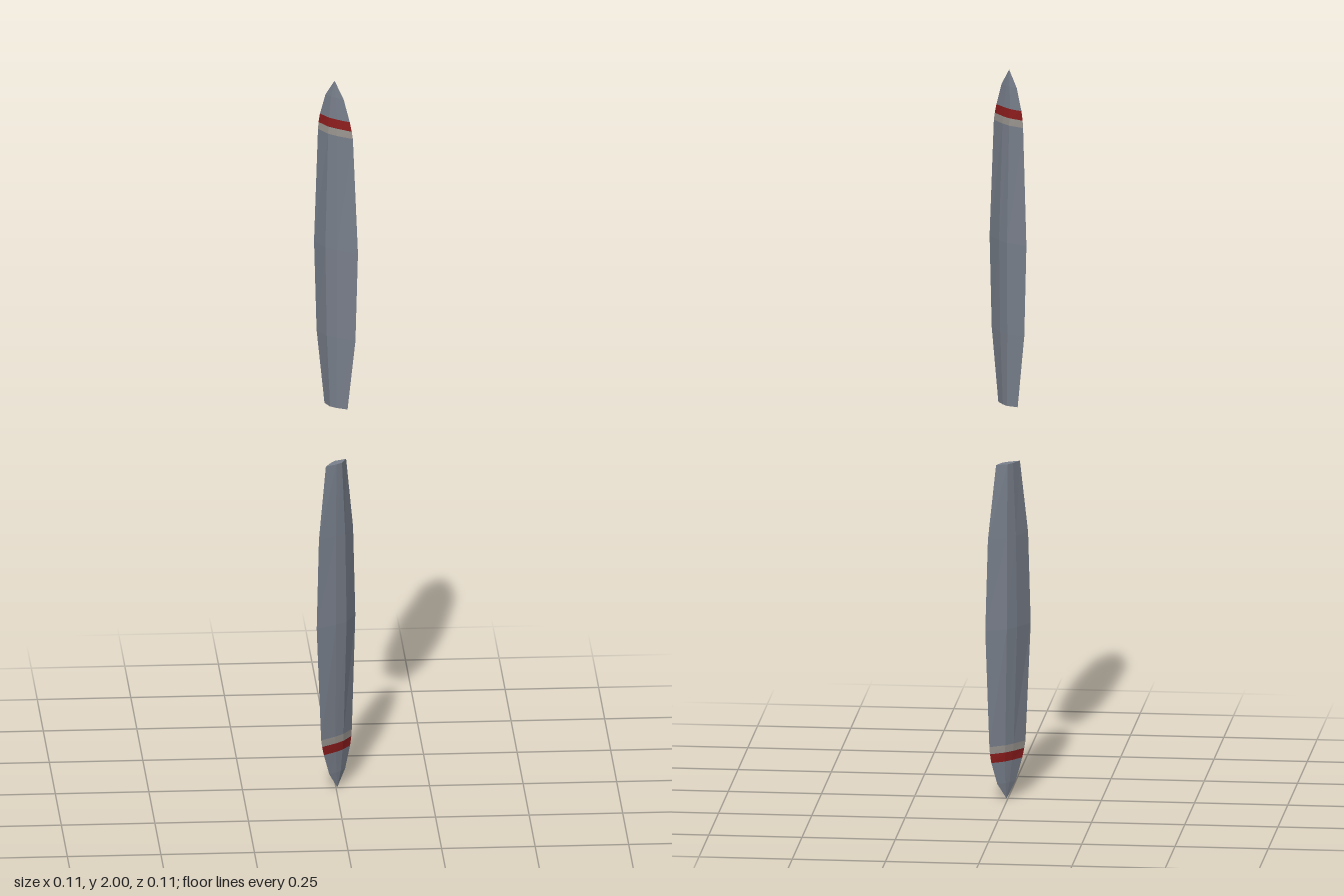
import * as THREE from 'three';

const material = (color) => new THREE.MeshStandardMaterial({ color, flatShading: true });

// Blade stations from root to tip: [height, half chord, half thickness, chord offset]
const root = [0.08, 0.041, 0.012, 0];
const inner = [0.28, 0.069, 0.017, 0];
const middle = [0.53, 0.078, 0.02, 0];
const outer = [0.85, 0.062, 0.011, -0.002];
const bandLow = [0.87, 0.059, 0.01, -0.003];
const bandHigh = [0.895, 0.053, 0.008, -0.004];
const shoulder = [0.955, 0.032, 0.005, -0.005];
const tip = [1, 0, 0, -0.005];

// Six-sided lens section, thickest a little behind mid-chord
const section = [[1, 0], [0.23, 0.82], [-0.26, 1], [-1, 0], [-0.26, -1], [0.23, -0.82]];

// Skin the section through a run of stations, with an optional flat root cap
function loft(stations, capped) {
  const positions = [];
  const sides = section.length;
  const rings = stations.map(([y, half, thick, shift]) =>
    section.map(([c, t]) => [shift + c * half, y, t * thick]));
  const triangle = (...corners) => corners.forEach((p) => positions.push(...p));
  for (let i = 0; i < rings.length - 1; i++) {
    const low = rings[i];
    const high = rings[i + 1];
    for (let k = 0; k < sides; k++) {
      const n = (k + 1) % sides;
      triangle(low[k], high[k], low[n]);
      if (stations[i + 1][1] > 0) triangle(low[n], high[k], high[n]);
    }
  }
  if (capped) {
    for (let k = 1; k < sides - 1; k++) triangle(rings[0][0], rings[0][k], rings[0][k + 1]);
  }
  const geometry = new THREE.BufferGeometry();
  geometry.setAttribute('position', new THREE.Float32BufferAttribute(positions, 3));
  geometry.computeVertexNormals();
  return geometry;
}

export function createModel() {
  const group = new THREE.Group();
  group.name = 'propellerBlades';

  const parts = [
    ['bladeBody', loft([root, inner, middle, outer], true), material(0x7a818d)],
    ['paleBand', loft([outer, bandLow]), material(0x9c9792)],
    ['redBand', loft([bandLow, bandHigh]), material(0x8f1d1d)],
    ['bladeTip', loft([bandHigh, shoulder, tip]), material(0x7a818d)],
  ];

  // Two pitched blades, half a turn apart around the z axis
  ['upperBlade', 'lowerBlade'].forEach((name, i) => {
    const blade = new THREE.Group();
    blade.name = name;
    const pitched = new THREE.Group();
    pitched.name = 'pitchedBlade';
    pitched.rotation.y = -Math.PI / 4;
    for (const [partName, geometry, mat] of parts) {
      const mesh = new THREE.Mesh(geometry, mat);
      mesh.name = partName;
      pitched.add(mesh);
    }
    blade.add(pitched);
    blade.rotation.z = i * Math.PI;
    blade.position.y = 1;
    group.add(blade);
  });

  return group;
}
